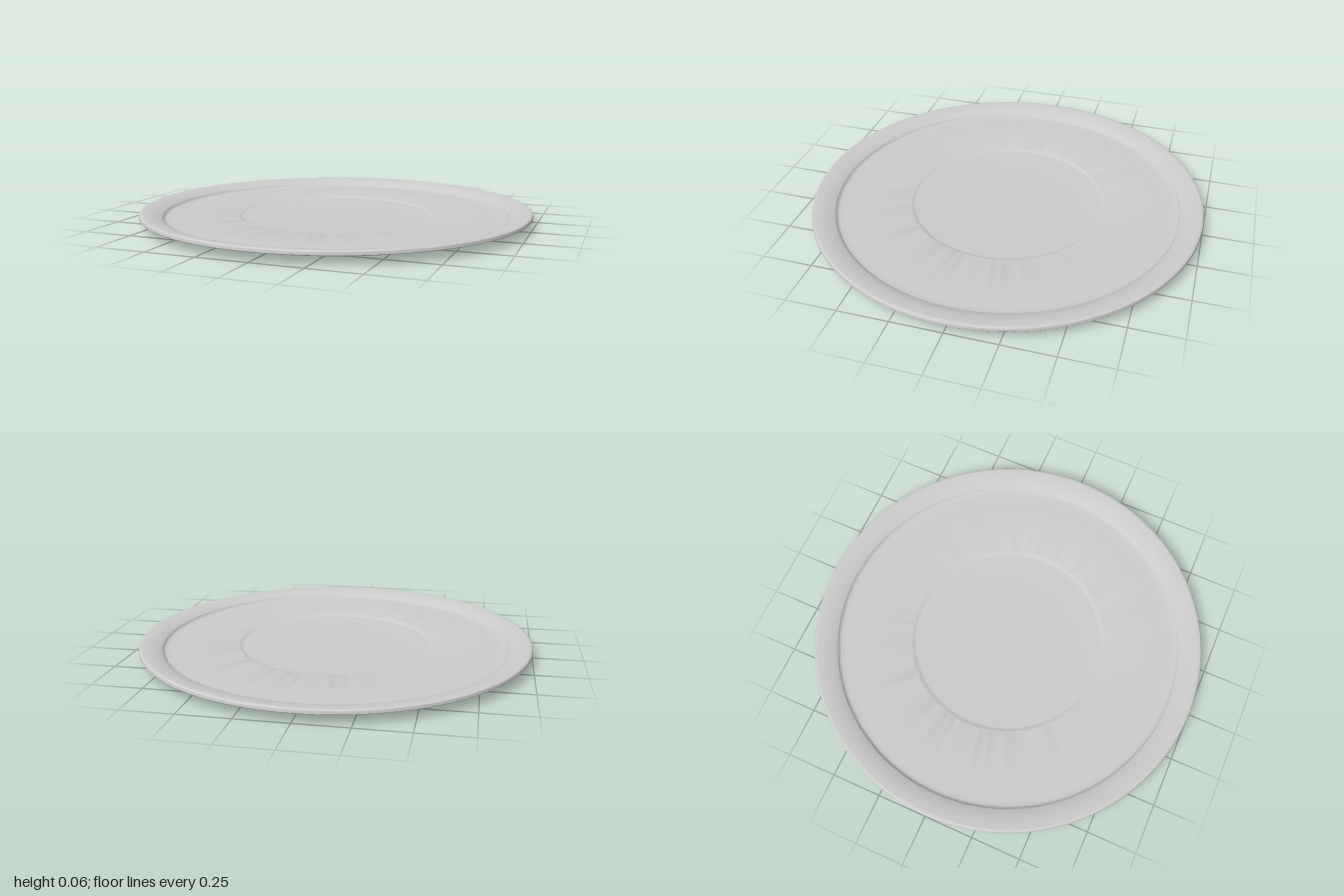
import * as THREE from 'three';
import { toCreasedNormals } from 'three/addons/utils/BufferGeometryUtils.js';

// Smooth run of profile points [radius, height]
function smooth(points, divisions) {
  return new THREE.SplineCurve(points.map(([r, y]) => new THREE.Vector2(r, y))).getPoints(divisions);
}

// Floor profile, from the axis outwards, with a shallow round well in the middle
function floorProfile(base, wellDepth) {
  const points = [new THREE.Vector2(0, base - wellDepth), new THREE.Vector2(0.3, base - wellDepth)];
  const steps = 8, inner = 0.48, outer = 0.505;
  for (let i = 0; i <= steps; i++) {
    const t = i / steps;
    const rise = t * t * (3 - 2 * t);
    points.push(new THREE.Vector2(inner + (outer - inner) * t, base - wellDepth * (1 - rise)));
  }
  return points;
}

export function createModel() {
  const group = new THREE.Group();
  group.name = 'plate';

  const profile = [
    // underside: floor, then the curve up to the foot edge
    ...floorProfile(0.006, 0.006),
    ...smooth([[0.78, 0.006], [0.84, 0.007], [0.885, 0.014]], 8),
    // outer wall and fillet into the flat rim underside
    ...smooth([[0.89, 0.022], [0.9, 0.034], [0.912, 0.04], [0.93, 0.042]], 8),
    // rim edge
    ...smooth([[0.992, 0.042], [1, 0.045], [1, 0.054], [0.997, 0.062], [0.991, 0.065]], 10),
    // sloping rim top
    ...smooth([[0.985, 0.065], [0.95, 0.061], [0.915, 0.053], [0.886, 0.042]], 10),
    // inner wall down to the floor
    ...smooth([[0.884, 0.04], [0.878, 0.033], [0.868, 0.029], [0.84, 0.027], [0.78, 0.027]], 10),
    // upper floor and well, back to the axis
    ...floorProfile(0.027, 0.007).reverse(),
  ];

  const geometry = toCreasedNormals(new THREE.LatheGeometry(profile, 128), 0.55);
  const plate = new THREE.Mesh(geometry, new THREE.MeshStandardMaterial({ color: 0xcccccc }));
  plate.name = 'plateBody';
  group.add(plate);
  return group;
}
